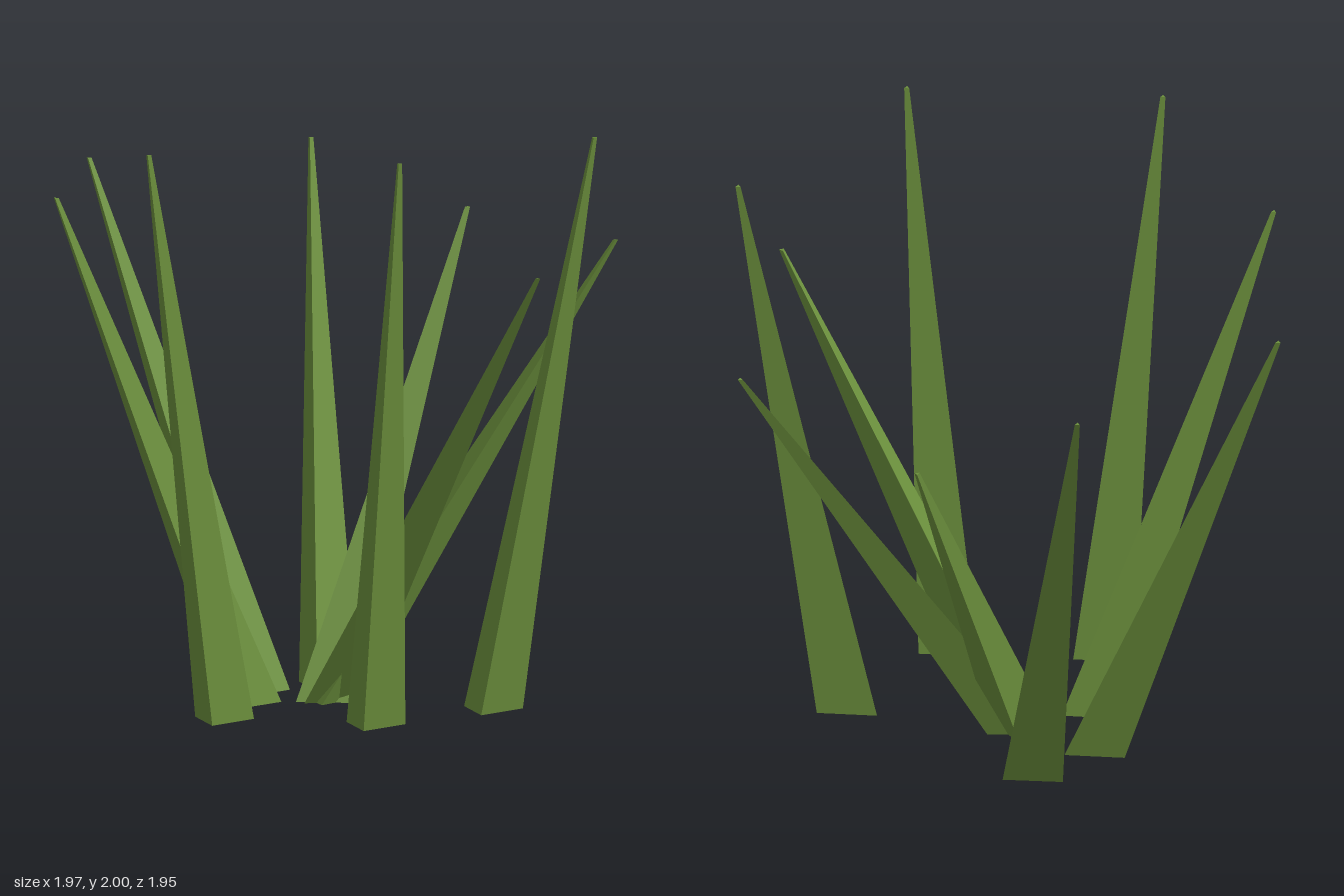
import * as THREE from 'three';

const BASE_RADIUS = 0.119;
const TIP_RADIUS = 0.01;

// A three-sided tapering blade standing at base [x, z], sheared so its top lands at tip [x, y, z].
// turn is the angle of one base corner in the ground plane, measured from +x towards +z.
function bladeGeometry([bx, bz], [tx, ty, tz], turn) {
  const theta = Math.PI / 2 - THREE.MathUtils.degToRad(turn);
  const geometry = new THREE.CylinderGeometry(TIP_RADIUS, BASE_RADIUS, ty, 3, 1, false, theta).toNonIndexed();
  geometry.translate(0, ty / 2, 0);
  const p = geometry.attributes.position;
  for (let i = 0; i < p.count; i++) {
    const t = p.getY(i) / ty;
    p.setX(i, p.getX(i) + bx + (tx - bx) * t);
    p.setZ(i, p.getZ(i) + bz + (tz - bz) * t);
  }
  geometry.computeVertexNormals(); // unshared corners give flat faces
  return geometry;
}

export function createModel() {
  const grass = new THREE.MeshStandardMaterial({ color: 0x6b8f3c });
  grass.name = 'grassGreen';

  // name, base [x, z], tip [x, y, z], turn in degrees
  const blades = [
    // tall blades
    ['tallBladeFront', [0.041, 0.573], [0.075, 2, 0.965], 180],
    ['tallBladeFrontLeft', [0.493, 0.3], [0.822, 2, 0.51], 180],
    ['tallBladeBackLeft', [0.549, -0.222], [0.913, 2, -0.358], 180],
    // medium blades
    ['mediumBladeRight', [-0.302, 0.035], [-0.976, 1.78, 0.155], 180],
    ['mediumBladeBackRight', [-0.223, -0.22], [-0.732, 1.78, -0.685], 179],
    ['mediumBladeFrontRight', [-0.145, 0.243], [-0.462, 1.78, 0.858], 181],
    // short blades sharing the centre
    ['shortBladeBackRight', [0, 0], [-0.262, 1.56, -0.967], 112],
    ['shortBladeBackLeft', [0, 0], [0.592, 1.56, -0.8], 176],
    ['shortBladeLeft', [0, -0.008], [0.973, 1.56, -0.014], 92],
  ];

  const tuft = new THREE.Group();
  tuft.name = 'grassTuft';
  for (const [name, base, tip, turn] of blades) {
    const blade = new THREE.Mesh(bladeGeometry(base, tip, turn), grass);
    blade.name = name;
    tuft.add(blade);
  }
  return tuft;
}
